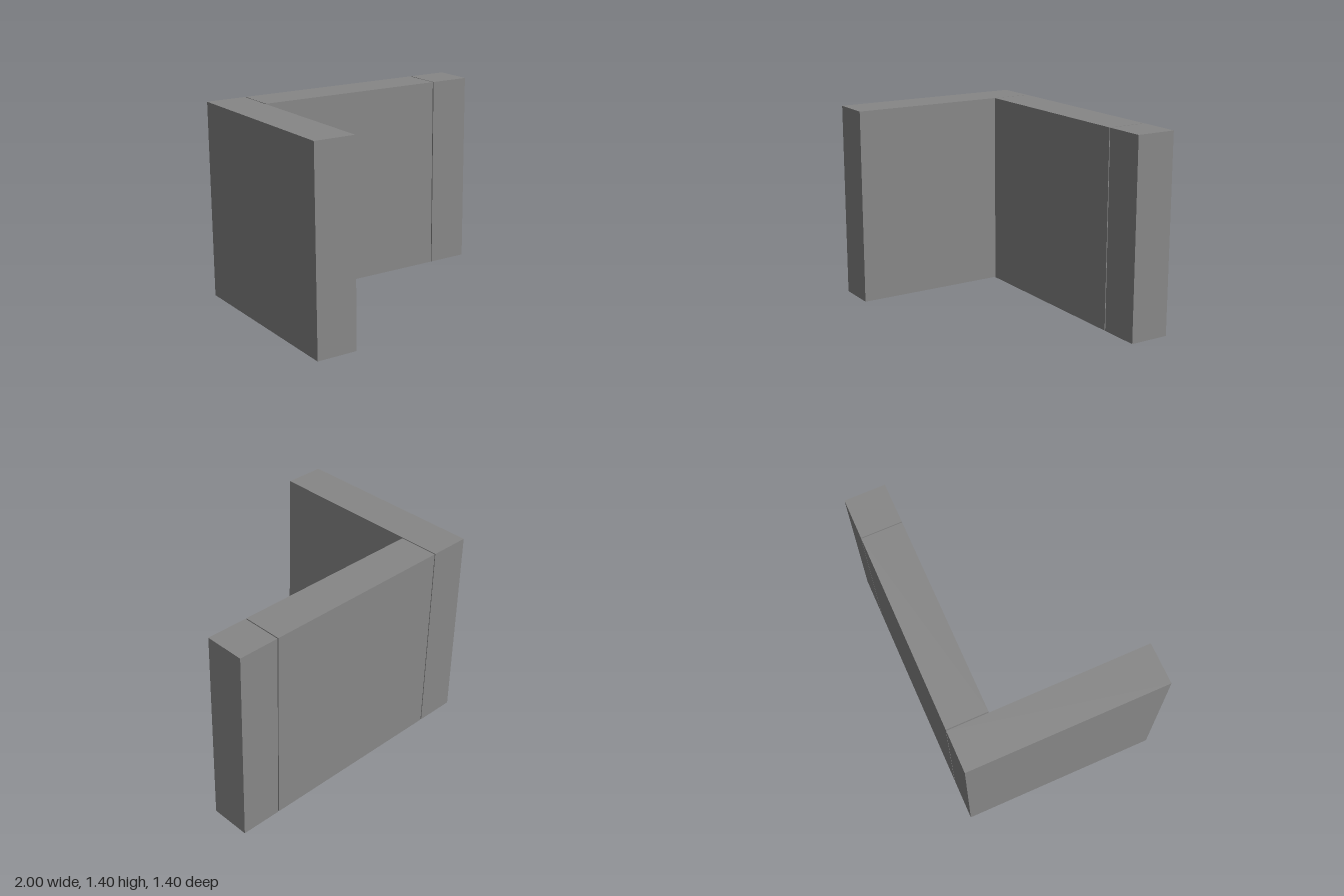
import * as THREE from 'three';

export function createModel() {
  const group = new THREE.Group();
  const material = new THREE.MeshStandardMaterial({ color: 0x878787, flatShading: true });
  const height = 1.403;
  const back = -0.7;
  const inner = -0.413; // front face of the back run

  // Upright slab standing on the ground, given by its plan extents
  const slab = (name, x0, x1, z0, z1) => {
    const mesh = new THREE.Mesh(new THREE.BoxGeometry(x1 - x0, height, z1 - z0), material);
    mesh.position.set((x0 + x1) / 2, height / 2, (z0 + z1) / 2);
    mesh.name = name;
    group.add(mesh);
  };

  slab('sideWall', -1, -0.711, back, 0.7);
  // Narrow joints separate the three blocks
  slab('backWall', -0.704, 0.699, back, inner);
  slab('endPillar', 0.706, 1, back, inner);
  return group;
}
